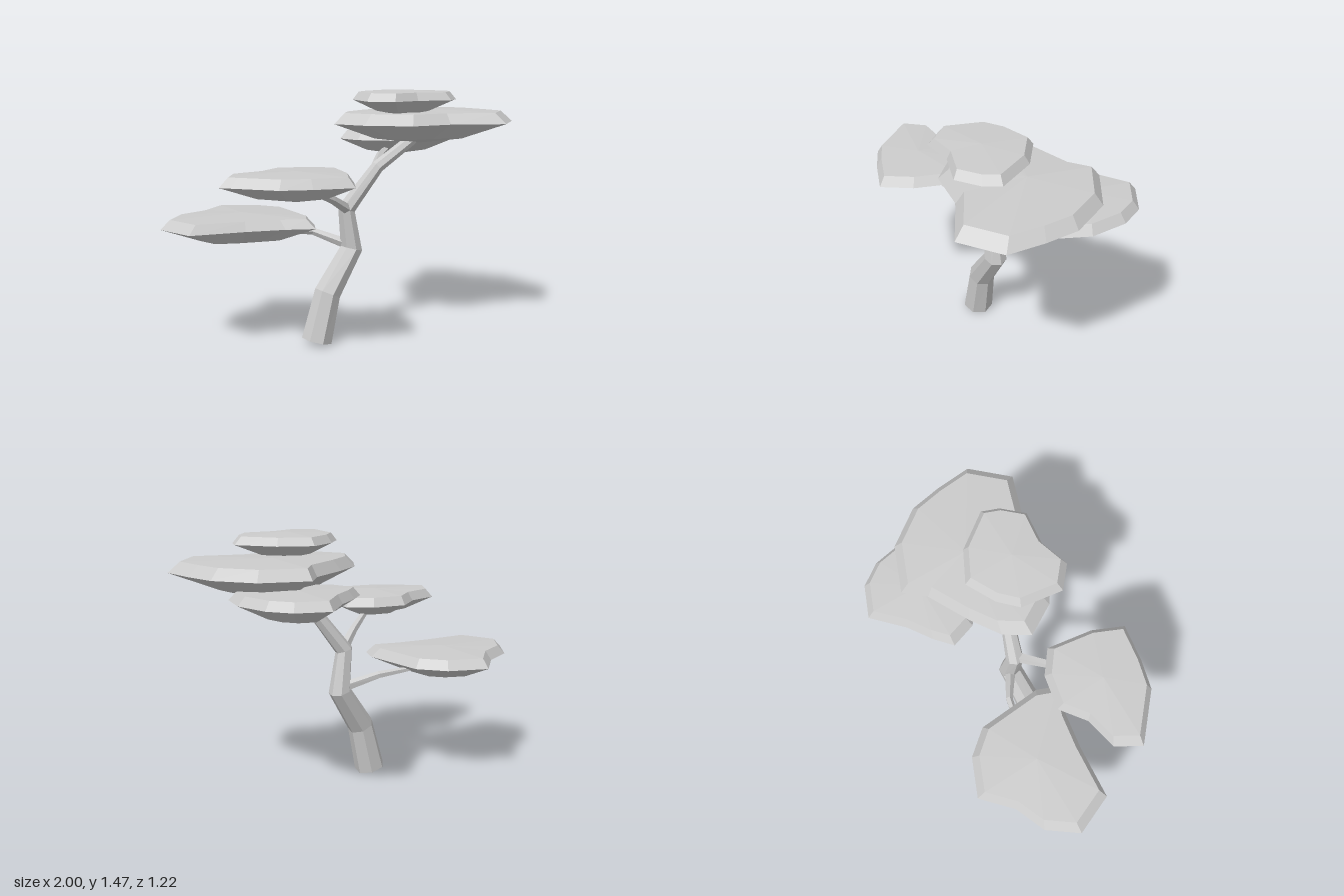
import * as THREE from 'three';

const material = new THREE.MeshStandardMaterial({ color: 0xcccccc, flatShading: true });
const V = (x, y, z) => new THREE.Vector3(x, y, z);

// Skin a stack of equal-length rings; a ring of one point is a closing pole.
function skin(name, rings) {
  const n = Math.max(...rings.map((r) => r.length));
  const at = (r, i) => r[i % r.length];
  const pos = [];
  for (let k = 0; k < rings.length - 1; k++) {
    const lo = rings[k], hi = rings[k + 1];
    for (let i = 0; i < n; i++) {
      const a = at(lo, i), b = at(lo, i + 1), c = at(hi, i), d = at(hi, i + 1);
      if (a !== b) pos.push(...b, ...a, ...c);
      if (c !== d) pos.push(...b, ...c, ...d);
    }
  }
  const g = new THREE.BufferGeometry();
  g.setAttribute('position', new THREE.Float32BufferAttribute(pos, 3));
  g.computeVertexNormals();
  const mesh = new THREE.Mesh(g, material);
  mesh.name = name;
  return mesh;
}

// Tapered faceted limb through stations [x, y, z, radius].
function limb(name, stations, sides) {
  const pts = stations.map((s) => V(s[0], s[1], s[2]));
  const rings = pts.map((p, k) => {
    const before = pts[Math.max(k - 1, 0)], after = pts[Math.min(k + 1, pts.length - 1)];
    const d = after.clone().sub(before).normalize();
    const u = V(0, 0, 1).addScaledVector(d, -d.z).normalize();
    const v = d.clone().cross(u);
    return Array.from({ length: sides }, (_, i) => {
      const t = (-i / sides) * Math.PI * 2, r = stations[k][3];
      return p.clone().addScaledVector(u, r * Math.cos(t)).addScaledVector(v, r * Math.sin(t));
    });
  });
  return skin(name, [[pts[0]], ...rings, [pts[pts.length - 1]]]);
}

// Flat foliage cushion: widest at the rim, shallow dome above, dished underside.
// The outline runs clockwise seen from above, as [x, z] pairs.
function cushion(name, { centre: [cx, cz], rim, outline, drop, rise }) {
  const ring = (scale, y) =>
    outline.map(([x, z]) => V(cx + (x - cx) * scale, y, cz + (z - cz) * scale));
  return skin(name, [
    [V(cx, rim - drop, cz)],
    ring(0.52, rim - drop * 0.7),
    ring(1, rim),
    ring(0.88, rim + rise * 0.8),
    [V(cx, rim + rise, cz)],
  ]);
}

const cushions = {
  lowerRightFoliage: {
    centre: [-0.53, -0.18], rim: 0.715, drop: 0.118, rise: 0.065,
    outline: [[-0.54, -0.57], [-0.32, -0.48], [-0.2, -0.34], [-0.165, 0.04], [-0.21, 0.16],
      [-0.37, 0.11], [-0.59, 0.075], [-0.9, 0.05], [-1, -0.18], [-0.88, -0.345], [-0.7, -0.42]],
  },
  middleRightFoliage: {
    centre: [-0.39, 0.32], rim: 1.005, drop: 0.1, rise: 0.065,
    outline: [[-0.4, 0.025], [-0.2, 0.065], [-0.07, 0.165], [-0.105, 0.43], [-0.18, 0.605],
      [-0.4, 0.57], [-0.565, 0.525], [-0.765, 0.35], [-0.81, 0.31], [-0.73, 0.17], [-0.54, 0.13]],
  },
  backLeftFoliage: {
    centre: [0.53, -0.29], rim: 1.165, drop: 0.11, rise: 0.06,
    outline: [[0.53, -0.61], [0.71, -0.54], [0.8, -0.42], [0.845, -0.22], [0.8, -0.03],
      [0.59, -0.01], [0.37, -0.03], [0.2, -0.15], [0.15, -0.29], [0.24, -0.37], [0.375, -0.46]],
  },
  mainFoliage: {
    centre: [0.515, 0], rim: 1.285, drop: 0.135, rise: 0.075,
    outline: [[0.515, -0.4], [0.775, -0.3], [0.93, -0.1], [0.97, 0.08], [0.995, 0.285],
      [0.82, 0.475], [0.52, 0.375], [0.27, 0.39], [0.05, 0.24], [-0.055, 0.07],
      [0.03, -0.065], [0.19, -0.17], [0.42, -0.29]],
  },
  topFoliage: {
    centre: [0.32, 0.17], rim: 1.42, drop: 0.09, rise: 0.055,
    outline: [[0.32, -0.11], [0.5, -0.02], [0.65, 0.175], [0.615, 0.27], [0.515, 0.38],
      [0.32, 0.355], [0.15, 0.405], [0.03, 0.305], [0.06, 0.07], [0.155, -0.025]],
  },
};

export function createModel() {
  const tree = new THREE.Group();
  tree.name = 'tree';

  // Crooked trunk rising into the main cushion
  tree.add(limb('trunk', [
    [-0.155, 0.027, 0.042, 0.09], [-0.085, 0.305, 0.04, 0.078], [0.083, 0.55, 0.01, 0.066],
    [0.045, 0.79, 0.022, 0.052], [0.22, 1.03, 0.07, 0.038], [0.46, 1.18, 0.05, 0.034],
  ], 7));

  // Side branches, one under each outer cushion
  tree.add(limb('lowerRightBranch', [
    [0.06, 0.575, 0, 0.032], [-0.11, 0.645, -0.11, 0.022], [-0.32, 0.665, -0.16, 0.014]], 5));
  tree.add(limb('middleRightBranch', [
    [0.04, 0.79, 0.04, 0.032], [-0.1, 0.87, 0.14, 0.025], [-0.28, 0.95, 0.26, 0.018]], 5));
  tree.add(limb('backLeftBranch', [
    [0.21, 1.02, 0.06, 0.03], [0.32, 1.08, -0.09, 0.022], [0.44, 1.12, -0.2, 0.016]], 5));

  for (const [name, spec] of Object.entries(cushions)) tree.add(cushion(name, spec));
  return tree;
}
